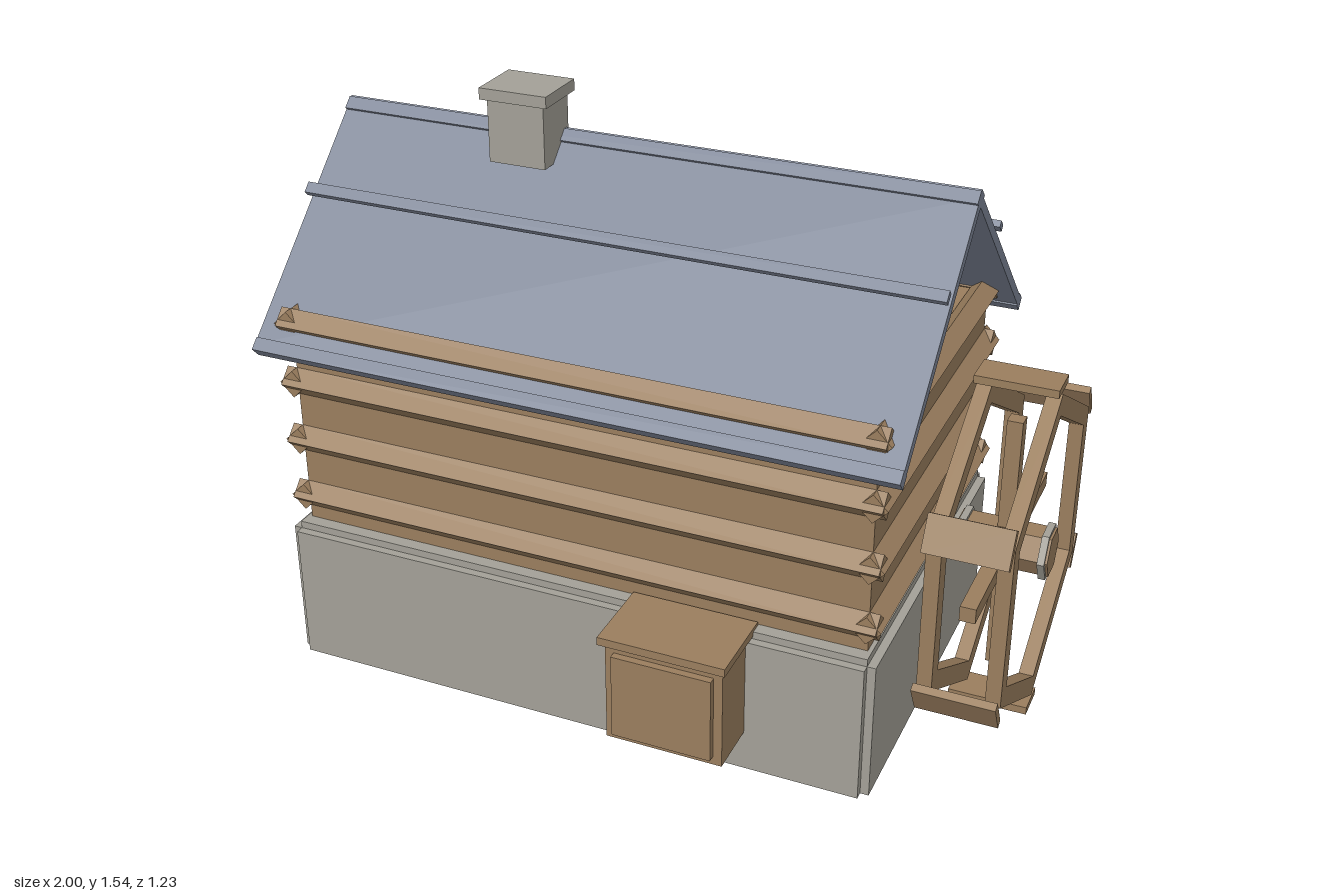
import * as THREE from 'three';

const flat = (name, color) => {
  const m = new THREE.MeshStandardMaterial({ color });
  m.name = name;
  return m;
};

export function createModel() {
  const wood = flat('wood', 0x9a7e5e);
  const stone = flat('stone', 0xa3a097);
  const slate = flat('slate', 0x7f8798);
  const glass = flat('glass', 0x7a869c);
  const model = new THREE.Group();
  model.name = 'watermill';

  const group = (name, parent = model) => {
    const g = new THREE.Group();
    g.name = name;
    parent.add(g);
    return g;
  };
  const add = (parent, name, geo, mat) => {
    const m = new THREE.Mesh(geo, mat);
    m.name = name;
    parent.add(m);
    return m;
  };
  // box given by its extents on each axis
  const box = (parent, name, mat, x0, x1, y0, y1, z0, z1) => {
    const m = add(parent, name, new THREE.BoxGeometry(x1 - x0, y1 - y0, z1 - z0), mat);
    m.position.set((x0 + x1) / 2, (y0 + y1) / 2, (z0 + z1) / 2);
    return m;
  };
  // faceted prism lying along x
  const prismX = (parent, name, mat, r, sides, x0, x1, y, z) => {
    const geo = new THREE.CylinderGeometry(r, r, x1 - x0, sides).toNonIndexed();
    geo.computeVertexNormals();
    geo.rotateZ(Math.PI / 2);
    const m = add(parent, name, geo, mat);
    m.position.set((x0 + x1) / 2, y, z);
    return m;
  };

  const X0 = -0.89, X1 = 0.667, Z0 = -0.53, Z1 = 0.395; // house walls
  const CX = (X0 + X1) / 2, CZ = (Z0 + Z1) / 2;

  // Hollow stone base: inner shell, outer panels with notched corners
  const base = group('foundation');
  const bx0 = -0.902, bx1 = 0.678, bz0 = -0.55, bz1 = 0.43, t = 0.025, p = 0.022;
  box(base, 'baseCeiling', stone, bx0, bx1, 0.37, 0.4, bz0, bz1);
  box(base, 'frontShell', stone, bx0, bx1, 0, 0.37, bz1 - t, bz1);
  box(base, 'frontPanel', stone, bx0, bx1, 0, 0.38, bz1, bz1 + p);
  for (const [x, s] of [[bx0, -1], [bx1, 1]]) {
    const a = x - s * t, b = x + s * p;
    box(base, 'sideShell', stone, Math.min(a, x), Math.max(a, x), 0, 0.37, bz0 + t, bz1 - t);
    box(base, 'sidePanel', stone, Math.min(x, b), Math.max(x, b), 0, 0.38, bz0, bz1);
  }
  // back wall with the water arch
  const archWall = (name, h, z, depth) => {
    const s = new THREE.Shape();
    s.moveTo(bx0, 0);
    for (const [dx, y] of [[-0.2, 0], [-0.2, 0.08], [-0.08, 0.25], [0.08, 0.25], [0.2, 0.08], [0.2, 0]])
      s.lineTo(CX + dx, y);
    s.lineTo(bx1, 0);
    s.lineTo(bx1, h);
    s.lineTo(bx0, h);
    const geo = new THREE.ExtrudeGeometry(s, { depth, bevelEnabled: false });
    add(base, name, geo, stone).position.z = z;
  };
  archWall('backShell', 0.37, bz0, t);
  archWall('backPanel', 0.38, bz0 - p, p);

  // Log walls: square logs set on edge, crossing at the corners
  const house = group('logHouse');
  box(house, 'walls', wood, X0, X1, 0.4, 0.97, Z0, Z1);
  for (let i = 0; i < 4; i++) {
    const y = 0.473 + i * 0.167;
    for (const z of [Z0, Z1])
      prismX(house, 'longLog', wood, 0.0375, 4, X0 - 0.027, X1 + 0.027, y, z);
    for (const x of [X0, X1]) {
      const log = prismX(house, 'crossLog', wood, 0.0375, 4, Z0 - 0.025, Z1 + 0.025, y, CZ);
      log.position.x = x;
      log.rotation.y = Math.PI / 2;
    }
  }

  // Roof: two slabs, each with ridge, middle and eave battens
  const roof = group('roof');
  const len = 1.708, run = 0.515, drop = 0.478, ridgeY = 1.393;
  const pitch = Math.atan2(drop, run), slope = Math.hypot(run, drop);
  for (const s of [1, -1]) {
    const tilted = (name, thick, wide, dz, y) => {
      const m = add(roof, name, new THREE.BoxGeometry(len, thick, wide), slate);
      m.position.set(CX, y, CZ + s * dz);
      m.rotation.x = s * pitch;
    };
    tilted('roofSlab', 0.027, slope, run / 2, ridgeY - drop / 2);
    tilted('ridgeBatten', 0.036, 0.035, 0.005, ridgeY);
    tilted('middleBatten', 0.018, 0.03, 0.231, 1.24);
    tilted('eaveBatten', 0.036, 0.035, run, ridgeY - drop);
  }

  // Chimney
  const chimney = group('chimney');
  box(chimney, 'stack', stone, -0.49, -0.335, 1.345, 1.51, -0.085, 0.05);
  box(chimney, 'cap', stone, -0.505, -0.32, 1.51, 1.54, -0.095, 0.063);

  // Cellar hatch on the front
  const hatch = group('cellarHatch');
  box(hatch, 'hatchBox', wood, 0.07, 0.377, 0.11, 0.39, 0.4, 0.598);
  box(hatch, 'hatchRoof', wood, 0.056, 0.388, 0.388, 0.41, 0.4, 0.614);
  box(hatch, 'hatchDoor', wood, 0.093, 0.354, 0.133, 0.365, 0.598, 0.617);

  // Door on the right-hand end
  const door = group('door');
  box(door, 'doorFrame', wood, -0.952, X0, 0.465, 0.88, -0.225, 0.03);
  box(door, 'doorLeaf', wood, -0.978, -0.952, 0.49, 0.875, -0.2, 0.005);
  box(door, 'doorSill', wood, -1, -0.952, 0.475, 0.495, -0.225, 0.03);
  box(door, 'doorHandle', wood, -0.992, -0.978, 0.54, 0.562, -0.03, -0.01);

  // Two back windows
  for (const x of [-0.31, 0.141]) {
    const win = group('window');
    box(win, 'windowFrame', stone, x - 0.108, x + 0.108, 0.61, 0.858, -0.587, Z0);
    for (const s of [-1, 1]) {
      const c = x + s * 0.043;
      box(win, 'windowPane', glass, c - 0.034, c + 0.034, 0.64, 0.825, -0.605, -0.587);
    }
    box(win, 'mullion', wood, x - 0.01, x + 0.01, 0.64, 0.825, -0.615, -0.587);
  }

  // Water wheel: two six-sided rims, paddles, crossed spokes and axle
  const wheel = group('waterWheel');
  wheel.position.set(0.88, 0.507, -0.041);
  const hex = (path, r) => {
    for (let i = 0; i < 6; i++) {
      const a = Math.PI / 2 + i * Math.PI / 3;
      path[i ? 'lineTo' : 'moveTo'](r * Math.cos(a), r * Math.sin(a));
    }
    path.closePath();
    return path;
  };
  const rimShape = hex(new THREE.Shape(), 0.44);
  rimShape.holes.push(hex(new THREE.Path(), 0.381));
  const rimGeo = new THREE.ExtrudeGeometry(rimShape, { depth: 0.038, bevelEnabled: false });
  rimGeo.translate(0, 0, -0.019);
  rimGeo.rotateY(Math.PI / 2);
  for (const x of [-0.085, 0.085]) add(wheel, 'rim', rimGeo, wood).position.x = x;
  const paddleGeo = new THREE.BoxGeometry(0.208, 0.021, 0.095);
  for (let i = 0; i < 6; i++) {
    const a = i * Math.PI / 3;
    const paddle = add(wheel, 'paddle', paddleGeo, wood);
    paddle.position.set(0, 0.46 * Math.cos(a), 0.46 * Math.sin(a));
    paddle.rotation.x = a;
  }
  box(wheel, 'uprightSpoke', wood, -0.02, 0.02, -0.352, 0.352, -0.02, 0.02);
  box(wheel, 'levelSpoke', wood, -0.02, 0.02, -0.02, 0.02, -0.352, 0.352);
  prismX(wheel, 'axle', wood, 0.062, 6, -0.119, 0.12, 0, 0);
  for (const x of [-0.105, 0.105])
    prismX(wheel, 'axleCollar', stone, 0.072, 6, x - 0.009, x + 0.009, 0, 0);

  return model;
}
